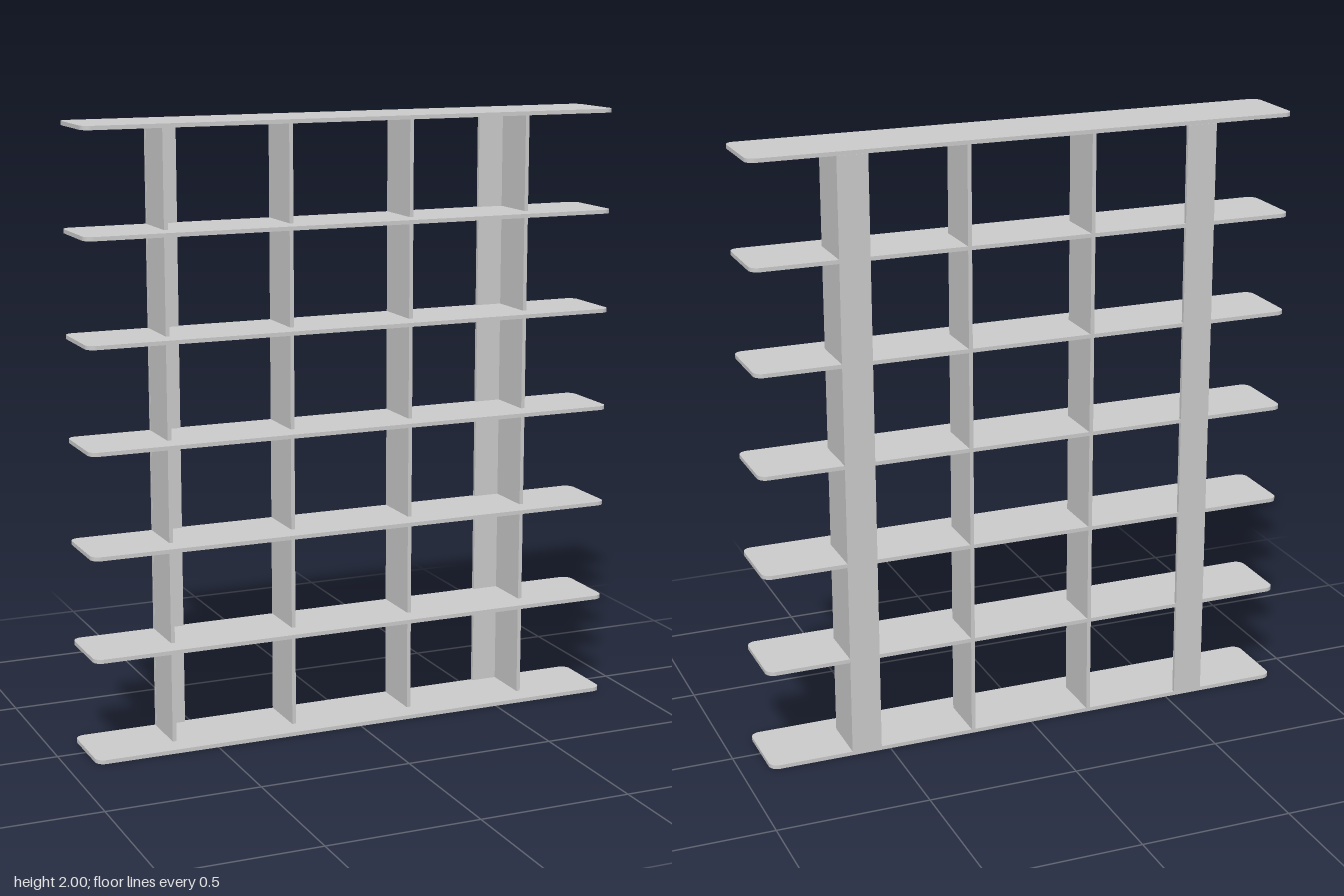
import * as THREE from 'three';

const material = new THREE.MeshStandardMaterial({ color: 0xcccccc });
const T = 0.013;          // board thickness
const HALF_W = 0.906, HALF_D = 0.125, RADIUS = 0.03;
const SHELVES = 7, STEP = (2 - T) / (SHELVES - 1);

// Horizontal board with rounded corners, lying from y = 0 to y = T
function shelfGeometry() {
  const s = new THREE.Shape();
  const x = HALF_W - RADIUS, y = HALF_D - RADIUS;
  s.absarc(x, y, RADIUS, 0, Math.PI / 2);
  s.absarc(-x, y, RADIUS, Math.PI / 2, Math.PI);
  s.absarc(-x, -y, RADIUS, Math.PI, Math.PI * 1.5);
  s.absarc(x, -y, RADIUS, Math.PI * 1.5, Math.PI * 2);
  const g = new THREE.ExtrudeGeometry(s, { depth: T, bevelEnabled: false, curveSegments: 8 });
  return g.rotateX(-Math.PI / 2);
}

export function createModel() {
  const model = new THREE.Group();
  model.name = 'bookshelf';
  const add = (name, geometry, x, y, z) => {
    const mesh = new THREE.Mesh(geometry, material);
    mesh.name = name;
    mesh.position.set(x, y, z);
    model.add(mesh);
  };

  // Shelves
  const shelf = shelfGeometry();
  for (let i = 0; i < SHELVES; i++) add('shelf', shelf, 0, i * STEP, 0);

  // Upright dividers between each pair of shelves, flush with the back
  const depth = 0.175;
  const divider = new THREE.BoxGeometry(T, STEP - T, depth);
  for (let i = 0; i < SHELVES - 1; i++) {
    for (const x of [-0.624, -0.208, 0.208, 0.624]) {
      add('divider', divider, x, i * STEP + (STEP + T) / 2, -HALF_D + depth / 2);
    }
  }

  // Tall back braces, set into the shelves just behind the outer dividers
  const brace = new THREE.BoxGeometry(0.1, 2 - 2 * T, T);
  for (const side of [-1, 1]) add('backBrace', brace, side * 0.581, 1, -HALF_D + T / 2 - 0.001);

  return model;
}
